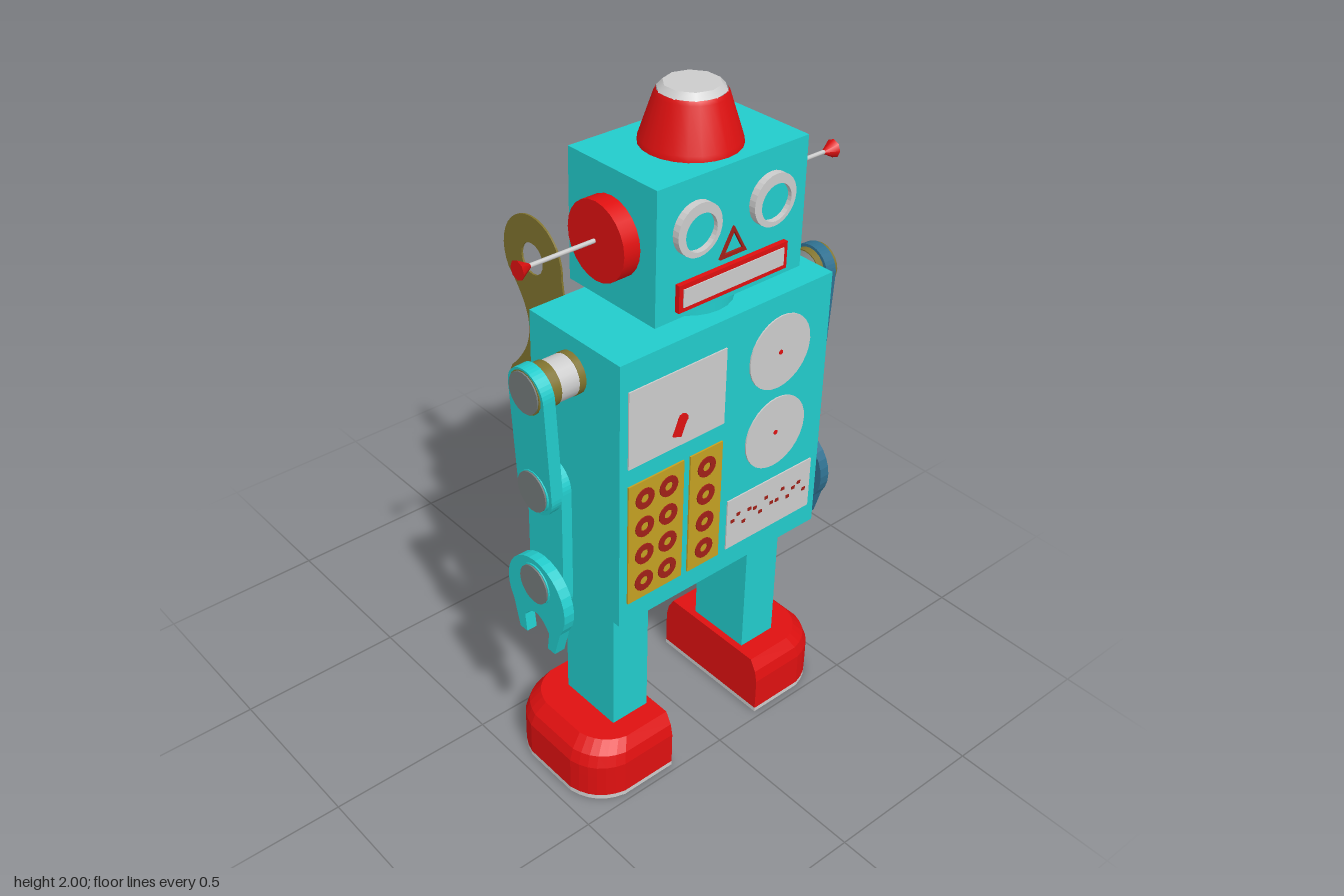
import * as THREE from 'three';

const mat = (name, color, side = THREE.FrontSide) => {
  const m = new THREE.MeshStandardMaterial({ color, side });
  m.name = name;
  return m;
};

export function createModel() {
  const root = new THREE.Group();
  root.name = 'windUpRobot';
  const cyan = mat('cyan', 0x22cccc), red = mat('red', 0xdf1010), white = mat('paleGrey', 0xcccccc);
  const gold = mat('gold', 0xc4a022), maroon = mat('maroon', 0xa02018), olive = mat('olive', 0x80732e);
  const blue = mat('steelBlue', 0x2f7090), grey = mat('grey', 0x757c7c);
  const CX = -0.006, FRONT = 0.47, BACK = 0.12;

  const add = (name, geo, m, x = 0, y = 0, z = 0, parent = root) => {
    const mesh = new THREE.Mesh(geo, m);
    mesh.name = name;
    mesh.position.set(x, y, z);
    parent.add(mesh);
    return mesh;
  };
  // box given by its limits
  const box = (name, m, x0, x1, y0, y1, z0, z1, parent) =>
    add(name, new THREE.BoxGeometry(x1 - x0, y1 - y0, z1 - z0), m,
      (x0 + x1) / 2, (y0 + y1) / 2, (z0 + z1) / 2, parent);
  const cylX = (r, len, seg = 20) => new THREE.CylinderGeometry(r, r, len, seg).rotateZ(Math.PI / 2);
  const cylZ = (r, len, seg = 20) => new THREE.CylinderGeometry(r, r, len, seg).rotateX(Math.PI / 2);
  // shape drawn in (z, y), extruded along x about x = 0
  const sideExtrude = (shape, depth) =>
    new THREE.ExtrudeGeometry(shape, { depth, bevelEnabled: false, curveSegments: 10 })
      .translate(0, 0, -depth / 2).rotateY(-Math.PI / 2);
  const circleHole = (x, y, r) => {
    const p = new THREE.Path();
    p.absarc(x, y, r, 0, Math.PI * 2, true);
    return p;
  };

  // ---- body, neck, head
  box('body', cyan, -0.366, 0.354, 0.63, 1.435, BACK, FRONT);
  add('neck', new THREE.CylinderGeometry(0.125, 0.125, 0.07, 24), cyan, CX, 1.462, 0.3);
  box('head', cyan, -0.25, 0.237, 1.49, 1.85, 0.138, 0.46);

  // ---- hat
  const hatProfile = [[0.13, 0], [0.128, 0.015], [0.092, 0.125], [0.086, 0.135]].map(p => new THREE.Vector2(...p));
  add('hat', new THREE.LatheGeometry(hatProfile, 24), red, CX, 1.85, 0.303);
  add('hatTop', new THREE.CylinderGeometry(0.072, 0.087, 0.016, 10), white, CX, 1.992, 0.303);

  // ---- ears and antennas
  for (const s of [-1, 1]) {
    add('ear', cylX(0.105, 0.05, 24), red, CX + s * 0.268, 1.675, 0.3);
    add('antennaRod', cylX(0.006, 0.2, 8), white, CX + s * 0.385, 1.675, 0.295);
    const tip = add('antennaTip', new THREE.ConeGeometry(0.026, 0.046, 8), red, CX + s * 0.497, 1.675, 0.295);
    tip.rotation.z = s * Math.PI / 2;
  }

  // ---- face
  for (const x of [-0.13, 0.115]) {
    const ring = new THREE.Shape().absarc(0, 0, 0.07, 0, Math.PI * 2, false);
    ring.holes.push(circleHole(0.004, -0.008, 0.05));
    add('eyeRim', new THREE.ExtrudeGeometry(ring, { depth: 0.02, bevelEnabled: false, curveSegments: 14 }), white, x, 1.72, 0.46);
    add('eyeLens', cylZ(0.055, 0.01), cyan, x, 1.72, 0.463);
  }
  const tri = (r, C) => {
    const t = new C();
    t.moveTo(-0.044 * r, -0.033 * r);
    t.lineTo(0.044 * r, -0.033 * r);
    t.lineTo(0, 0.045 * r);
    t.closePath();
    return t;
  };
  const nose = tri(1, THREE.Shape);
  nose.holes.push(tri(0.7, THREE.Path));
  add('nose', new THREE.ExtrudeGeometry(nose, { depth: 0.008, bevelEnabled: false }), maroon, CX, 1.64, 0.459);
  box('mouthFrame', red, -0.187, 0.173, 1.513, 1.588, 0.455, 0.474);
  box('mouth', white, -0.174, 0.16, 1.526, 1.575, 0.47, 0.477);

  // ---- button boards, used on the chest and the back of the head
  const ringShape = new THREE.Shape().absarc(0, 0, 1, 0, Math.PI * 2, false);
  ringShape.holes.push(circleHole(0, 0, 0.42));
  const buttonBoard = (w, h, cols, r) => {
    const g = new THREE.Group();
    g.name = 'buttonBoard';
    box('board', gold, -w / 2, w / 2, -h / 2, h / 2, 0, 0.005, g);
    for (let c = 0; c < cols; c++) for (let i = 0; i < 4; i++) {
      const b = add('button', new THREE.ExtrudeGeometry(ringShape, { depth: 0.004, bevelEnabled: false, curveSegments: 8 }),
        maroon, (c - (cols - 1) / 2) * w * 0.43, (i - 1.5) * h * 0.236, 0.004, g);
      b.scale.set(r, r, 1);
    }
    root.add(g);
    return g;
  };
  buttonBoard(0.186, 0.376, 2, 0.031).position.set(-0.247, 0.883, FRONT);
  buttonBoard(0.112, 0.376, 1, 0.031).position.set(-0.076, 0.883, FRONT);
  for (const [x, w, n] of [[0.068, 0.155, 2], [-0.082, 0.1, 1]]) {
    const b = buttonBoard(w, 0.28, n, 0.025);
    b.position.set(x, 1.67, 0.138);
    b.rotation.y = Math.PI;
  }

  // ---- chest dials and panels
  const needle = (x, y, z, tilt) => {
    const n = add('needle', new THREE.BoxGeometry(0.03, 0.06, 0.004), red, x, y, z);
    n.rotation.z = tilt;
    add('needlePivot', cylZ(0.017, 0.004, 10), red, x + 0.008, y + 0.018, z);
  };
  box('gaugePanel', white, -0.34, -0.018, 1.125, 1.352, FRONT, FRONT + 0.004);
  needle(-0.172, 1.185, FRONT + 0.005, -0.4);
  for (const y of [1.264, 1.013]) {
    add('dial', cylZ(0.109, 0.008, 28), white, 0.175, y, FRONT);
    add('dialCentre', cylZ(0.007, 0.004, 8), red, 0.175, y, FRONT + 0.004);
  }
  box('graphPanel', white, 0.01, 0.327, 0.697, 0.858, FRONT, FRONT + 0.004);
  for (let i = 0; i < 14; i++) {
    add('graphMark', new THREE.BoxGeometry(0.012, 0.01, 0.004), maroon,
      0.03 + i * 0.021, 0.785 + 0.02 * Math.sin(i * 2.3), FRONT + 0.004);
  }

  // ---- back dials, plate and key
  for (const x of [0.24, 0.1]) for (const y of [1.36, 1.225])
    add('backDial', cylZ(0.064, 0.008, 24), white, x, y, BACK);
  box('backPlate', white, -0.16, 0.135, 0.7, 0.865, BACK - 0.004, BACK);
  needle(-0.03, 0.77, BACK - 0.005, -0.4);

  const hubProfile = [[0.13, 0], [0.132, 0.035], [0.115, 0.045], [0.095, 0.035], [0.09, 0.01]].map(p => new THREE.Vector2(...p));
  add('keyHub', new THREE.LatheGeometry(hubProfile, 24).rotateX(-Math.PI / 2), cyan, CX, 1.025, BACK);
  add('keyHubDisc', cylZ(0.1, 0.03, 24), white, CX, 1.025, BACK - 0.005);
  add('keyShaft', cylZ(0.05, 0.32, 12), olive, CX, 1.025, -0.05);

  const key = new THREE.Shape();
  key.moveTo(-0.085, 0.06);
  key.quadraticCurveTo(-0.1, 0.09, -0.14, 0.095);
  key.quadraticCurveTo(-0.195, 0.11, -0.206, 0.22);
  key.absarc(-0.342, 0.24, 0.135, -0.15, Math.PI + 0.55, false);
  key.quadraticCurveTo(-0.366, 0.08, -0.365, 0);
  key.quadraticCurveTo(-0.366, -0.08, -0.457, -0.17);
  key.absarc(-0.342, -0.24, 0.135, Math.PI - 0.55, Math.PI * 2 + 0.15, false);
  key.quadraticCurveTo(-0.195, -0.11, -0.14, -0.06);
  key.lineTo(-0.085, -0.05);
  for (const s of [-1, 1]) key.holes.push(circleHole(-0.342, s * 0.24, 0.05));
  add('keyHandle', sideExtrude(key, 0.006), olive, CX, 1.022, 0);

  // ---- arms: two links and an open claw on each side
  const link = (len) => {
    const s = new THREE.Shape();
    s.absarc(0, len / 2, 0.07, 0, Math.PI, false);
    s.absarc(0, -len / 2, 0.07, Math.PI, Math.PI * 2, false);
    return s;
  };
  const claw = new THREE.Shape();
  claw.absarc(0, 0, 0.12, -0.6, Math.PI + 0.6, false);
  claw.lineTo(-0.075, -0.15);
  claw.lineTo(-0.045, -0.15);
  claw.lineTo(-0.052, -0.095);
  claw.quadraticCurveTo(0, -0.02, 0.052, -0.095);
  claw.lineTo(0.045, -0.15);
  claw.lineTo(0.075, -0.15);
  for (const s of [-1, 1]) {
    const m = s > 0 ? blue : cyan, peg = s > 0 ? grey : white, Z = 0.287;
    const arm = new THREE.Group();
    arm.name = s > 0 ? 'leftArm' : 'rightArm';
    arm.position.x = CX;
    root.add(arm);
    add('shoulderPeg', cylX(0.057, 0.1), peg, s * 0.41, 1.333, Z, arm);
    add('shoulderCollar', cylX(0.058, 0.02), olive, s * 0.37, 1.333, Z, arm);
    add('upperArm', sideExtrude(link(0.3), 0.036), m, s * 0.476, 1.18, Z, arm).rotation.z = -s * 0.06;
    add('forearm', sideExtrude(link(0.33), 0.032), m, s * 0.438, 0.87, Z, arm);
    add('claw', sideExtrude(claw, 0.032), m, s * 0.475, 0.685, Z, arm);
    for (const [y, end] of [[1.333, s > 0 ? 0.52 : 0.508], [1.03, 0.492], [0.73, 0.496]]) {
      add('joint', cylX(0.06, 0.07), y > 1.3 ? olive : m, s * (end - 0.036), y, Z, arm);
      add('jointCap', cylX(0.057, 0.006), grey, s * end, y, Z, arm);
    }
  }

  // ---- legs and feet (outline is straight inside, rounded outside)
  const foot = (s) => {
    const o = new THREE.Shape(), W = 0.286, D = 0.2, R = 0.11;
    o.moveTo(0, -D);
    o.lineTo(W - R, -D);
    o.quadraticCurveTo(W - 0.02, -D + 0.02, W, -D + R);
    o.lineTo(W, D - R);
    o.quadraticCurveTo(W - 0.02, D - 0.02, W - R, D);
    o.lineTo(0, D);
    if (s > 0) return o;
    return new THREE.Shape(o.getPoints(6).map(p => new THREE.Vector2(-p.x, p.y)).reverse());
  };
  for (const s of [-1, 1]) {
    const lx = CX + s * 0.25;
    box('leg', cyan, lx - 0.062, lx + 0.062, 0.15, 0.64, 0.187, 0.39);
    const opts = (depth, steps) => ({ depth, steps, bevelEnabled: false, curveSegments: 6 });
    const upper = new THREE.ExtrudeGeometry(foot(s), opts(0.175, 5)).rotateX(-Math.PI / 2);
    // draw the top edge inwards
    const p = upper.attributes.position;
    for (let i = 0; i < p.count; i++) {
      const t = Math.max(0, (p.getY(i) - 0.1) / 0.075);
      p.setX(i, p.getX(i) * (1 - 0.16 * t * t));
      p.setZ(i, p.getZ(i) * (1 - 0.14 * t * t));
    }
    upper.computeVertexNormals();
    add('foot', upper, red, CX + s * 0.167, 0.014, 0.28);
    add('sole', new THREE.ExtrudeGeometry(foot(s), opts(0.014, 1)).rotateX(-Math.PI / 2), white, CX + s * 0.167, 0, 0.28);
  }

  return root;
}
